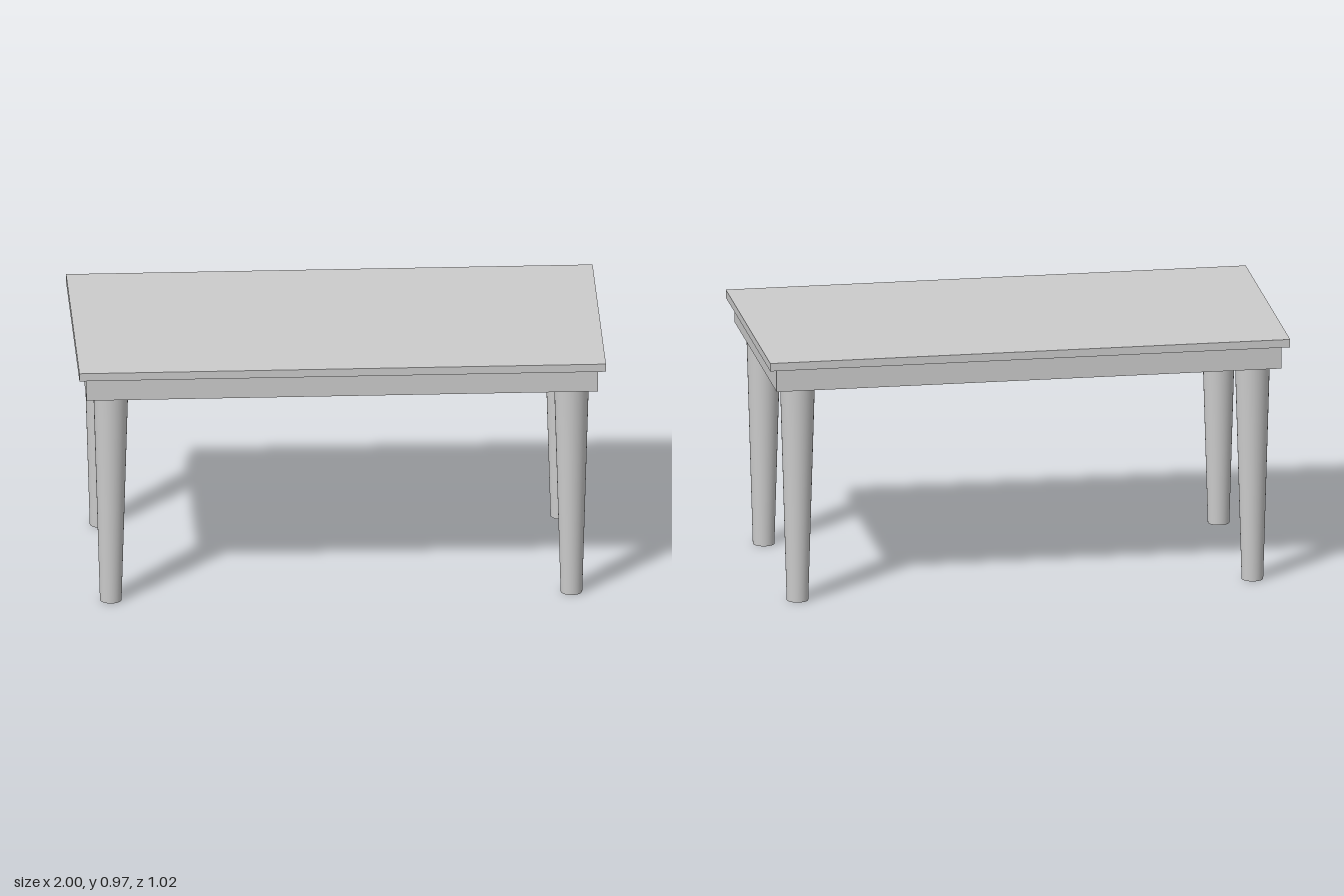
import * as THREE from 'three';

export function createModel() {
  const model = new THREE.Group();
  model.name = 'table';
  const material = new THREE.MeshStandardMaterial({ color: 0xcccccc });

  const add = (name, geometry, x, y, z) => {
    const mesh = new THREE.Mesh(geometry, material);
    mesh.name = name;
    mesh.position.set(x, y, z);
    model.add(mesh);
  };

  const legHeight = 0.852, apronTop = 0.942, top = 0.973;

  // Thin overhanging top on a solid apron block
  add('tableTop', new THREE.BoxGeometry(2, top - apronTop, 1.024), 0, (top + apronTop) / 2, 0);
  add('apron', new THREE.BoxGeometry(1.942, apronTop - legHeight, 0.972), 0, (apronTop + legHeight) / 2, 0);

  // Four round legs, tapering towards the floor
  const leg = new THREE.CylinderGeometry(0.066, 0.041, legHeight, 32);
  for (const [endName, z] of [['front', 0.389], ['back', -0.389]]) {
    for (const [sideName, x] of [['Left', 0.875], ['Right', -0.875]]) {
      add(`${endName}${sideName}Leg`, leg, x, legHeight / 2, z);
    }
  }

  return model;
}
